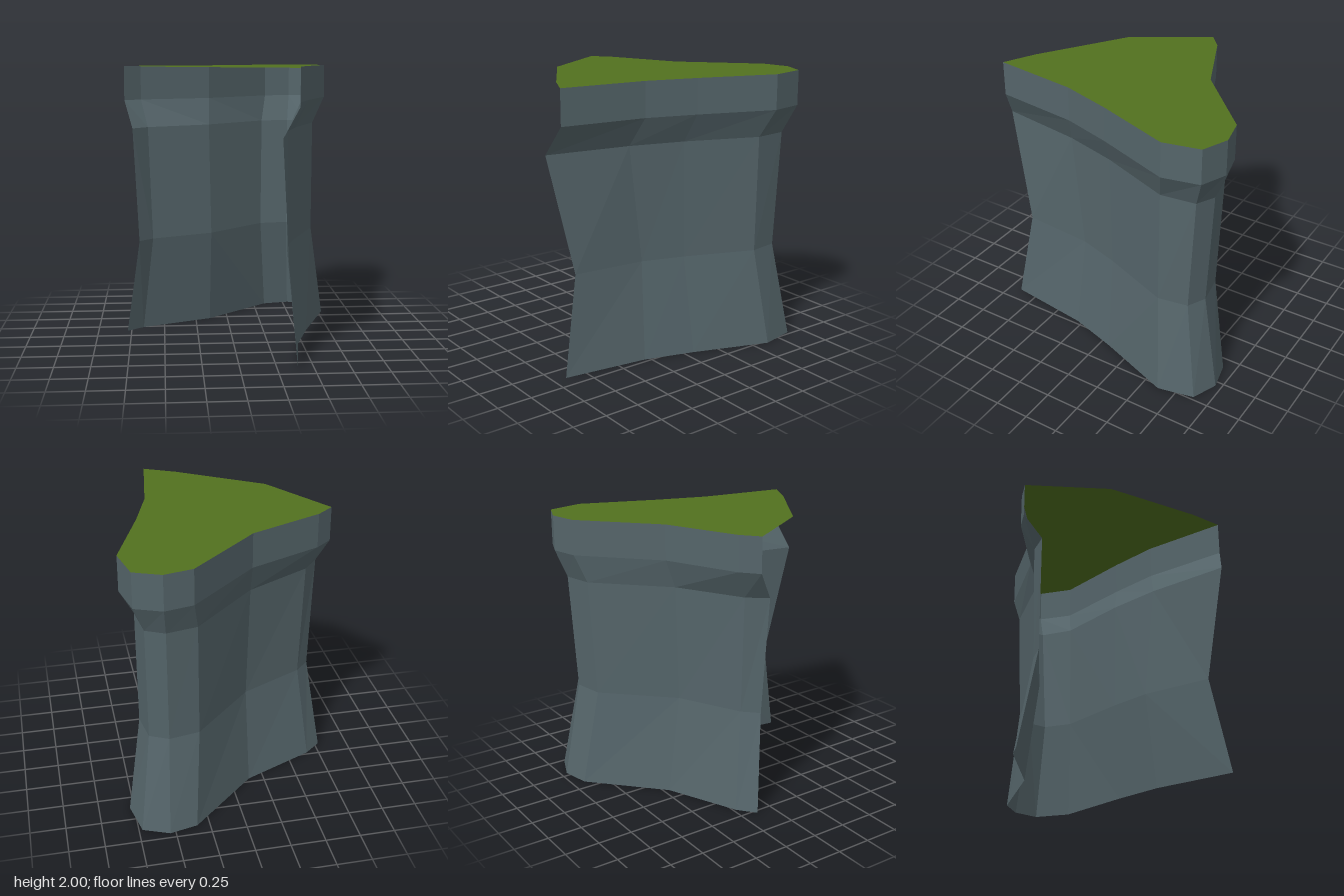
import * as THREE from 'three';

// Plan outline (x, z) of the wall at each height, from the left end round the back to the front end
const rim = [[-0.78, -0.13], [-0.66, -0.23], [-0.14, -0.46], [0.34, -0.91], [0.54, -0.955],
  [0.725, -0.88], [0.78, -0.62], [0.58, -0.07], [0.47, 0.29], [0.387, 0.905]];
const waist = [[-0.68, -0.04], [-0.58, -0.14], [-0.13, -0.36], [0.295, -0.79], [0.51, -0.83],
  [0.64, -0.765], [0.675, -0.55], [0.48, -0.05], [0.385, 0.255], [0.335, 0.78]];
const neck = [[-0.72, -0.01], [-0.61, -0.14], [-0.145, -0.39], [0.305, -0.83], [0.52, -0.875],
  [0.65, -0.81], [0.68, -0.56], [0.48, -0.04], [0.37, 0.35], [0.27, 0.955]];
const levels = [[0, rim], [0.71, waist], [1.55, neck], [1.75, rim], [2, rim]];

// Strip of faces between two neighbouring levels, facing outwards
function band([y0, low], [y1, high]) {
  const pos = [];
  for (let i = 0; i < low.length - 1; i++) {
    const at = (ring, y, k) => [ring[k][0], y, ring[k][1]];
    const a = at(low, y0, i + 1), b = at(low, y0, i), c = at(high, y1, i), d = at(high, y1, i + 1);
    pos.push(...a, ...b, ...c, ...a, ...c, ...d);
  }
  const geo = new THREE.BufferGeometry();
  geo.setAttribute('position', new THREE.Float32BufferAttribute(pos, 3));
  geo.computeVertexNormals();
  return geo;
}

export function createModel() {
  const group = new THREE.Group();
  group.name = 'cliffCorner';
  const rock = new THREE.MeshStandardMaterial({ color: 0x55656a, flatShading: true, side: THREE.DoubleSide });
  rock.name = 'slateRock';
  const grass = new THREE.MeshStandardMaterial({ color: 0x52711f, flatShading: true, side: THREE.DoubleSide });
  grass.name = 'grassGreen';

  // Rock wall, open at the front left and underneath
  const names = ['rockFoot', 'rockFace', 'rockFlare', 'rockRim'];
  names.forEach((name, i) => {
    const mesh = new THREE.Mesh(band(levels[i], levels[i + 1]), rock);
    mesh.name = name;
    group.add(mesh);
  });

  // Grass top, closed across the open side
  const outline = [...rim, [0.16, 0.79], [-0.44, 0.40]];
  const shape = new THREE.Shape(outline.map(([x, z]) => new THREE.Vector2(x, -z)));
  const top = new THREE.Mesh(new THREE.ShapeGeometry(shape).rotateX(-Math.PI / 2).translate(0, 2, 0), grass);
  top.name = 'grassTop';
  group.add(top);
  return group;
}
